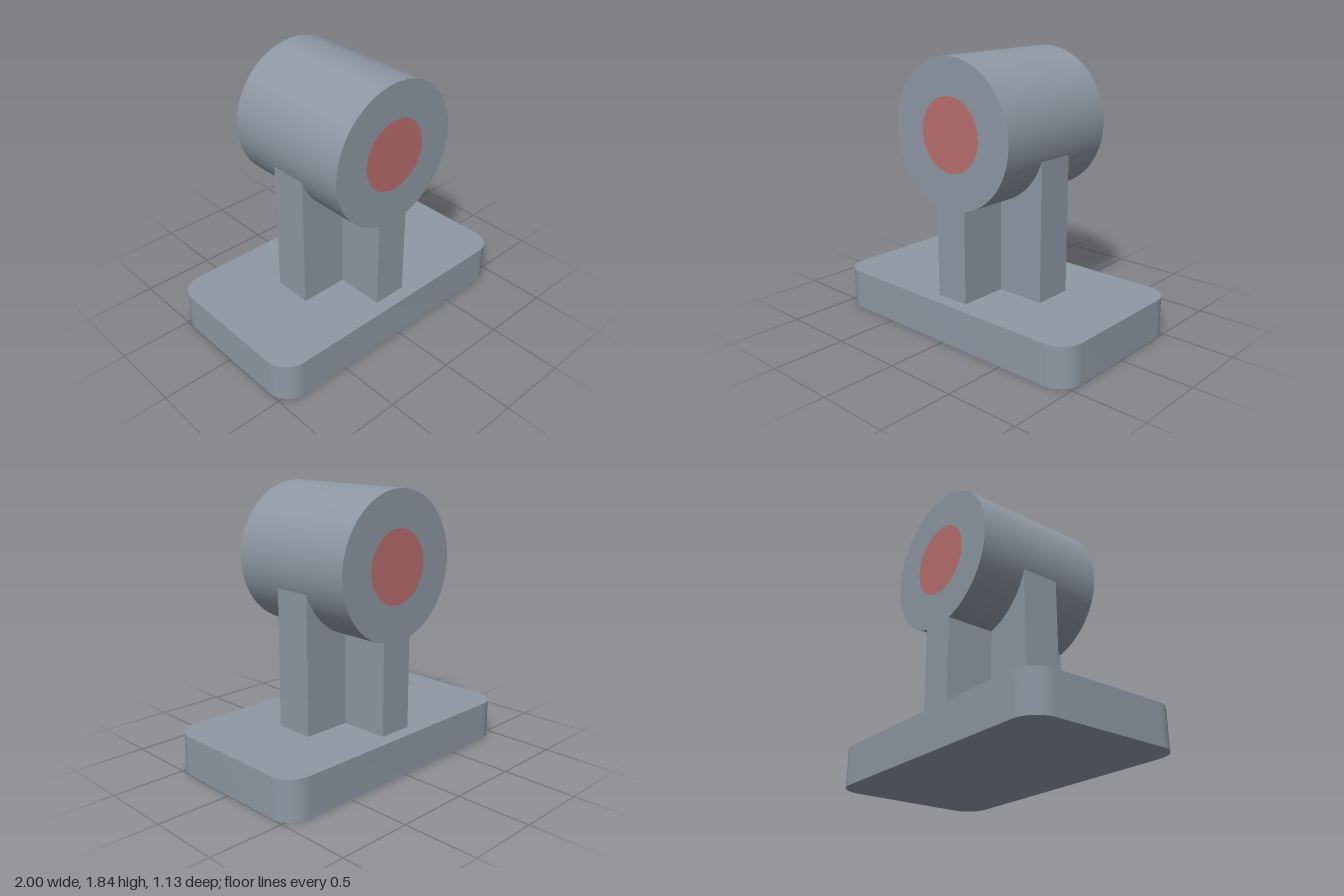
import * as THREE from 'three';
import { toCreasedNormals } from 'three/addons/utils/BufferGeometryUtils.js';

const AXIS_Y = 1.357, BARREL_R = 0.484, BORE_R = 0.241, HALF_LEN = 0.473;
const BASE_H = 0.27;

const grey = new THREE.MeshStandardMaterial({ color: 0x8e98a4 });
grey.name = 'steel grey';
const red = new THREE.MeshStandardMaterial({ color: 0xba6e6e });
red.name = 'bore red';

// Extrude a shape along z, centred, with smooth curves and sharp edges
function slab(shape, depth, curveSegments = 24) {
  const geo = new THREE.ExtrudeGeometry(shape, { depth, bevelEnabled: false, curveSegments });
  geo.translate(0, 0, -depth / 2);
  return toCreasedNormals(geo, 0.6);
}

function addPart(group, name, geometry, material) {
  const mesh = new THREE.Mesh(geometry, material);
  mesh.name = name;
  group.add(mesh);
  return mesh;
}

// Upright web whose top is cut to fit the underside of the barrel
function web(halfWidth, depth) {
  const half = Math.asin(halfWidth / BARREL_R);
  const s = new THREE.Shape();
  s.moveTo(-halfWidth, BASE_H);
  s.lineTo(halfWidth, BASE_H);
  s.absarc(0, AXIS_Y, BARREL_R, -Math.PI / 2 + half, -Math.PI / 2 - half, true);
  s.closePath();
  return slab(s, depth);
}

// Plate outline with rounded corners
function roundedRect(hx, hy, r) {
  const s = new THREE.Shape();
  s.absarc(hx - r, hy - r, r, 0, Math.PI / 2);
  s.absarc(-hx + r, hy - r, r, Math.PI / 2, Math.PI);
  s.absarc(-hx + r, -hy + r, r, Math.PI, Math.PI * 1.5);
  s.absarc(hx - r, -hy + r, r, Math.PI * 1.5, Math.PI * 2);
  s.closePath();
  return s;
}

export function createModel() {
  const group = new THREE.Group();
  group.name = 'bearingPedestal';

  // Base plate
  const base = slab(roundedRect(1, 0.567, 0.16), BASE_H, 12);
  base.rotateX(-Math.PI / 2);
  base.translate(0, BASE_H / 2, 0);
  addPart(group, 'basePlate', base, grey);

  // Crossed supports
  addPart(group, 'crossWeb', web(0.458, 0.27), grey);
  addPart(group, 'lengthWeb', web(0.12, HALF_LEN * 2), grey);

  // Barrel with a through bore
  const ring = new THREE.Shape();
  ring.absarc(0, 0, BARREL_R, 0, Math.PI * 2);
  const bore = new THREE.Path();
  bore.absarc(0, 0, BORE_R, 0, Math.PI * 2, true);
  ring.holes.push(bore);
  addPart(group, 'barrel', slab(ring, HALF_LEN * 2, 48), grey).position.y = AXIS_Y;

  // Pin filling the bore, flush with both ends
  const pin = new THREE.CylinderGeometry(BORE_R, BORE_R, HALF_LEN * 2, 96);
  pin.rotateX(Math.PI / 2);
  addPart(group, 'pin', pin, red).position.y = AXIS_Y;

  return group;
}
